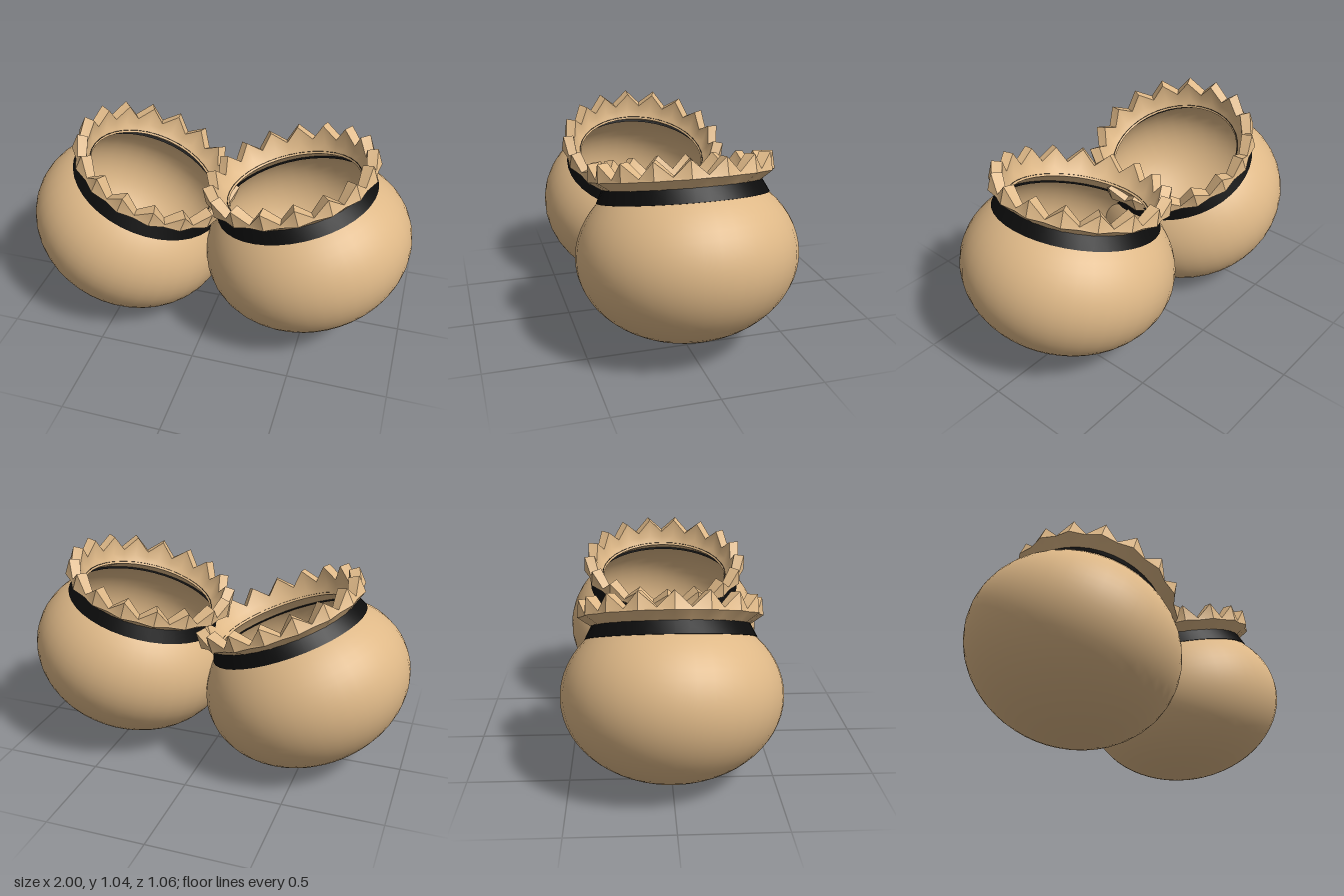
import * as THREE from 'three';
import { toCreasedNormals } from 'three/addons/utils/BufferGeometryUtils.js';

const TAN = 0xdeb887, BLACK = 0x0c0c0c;
const RADIUS = 0.53, HALF_HEIGHT = 0.42, RIM = 0.325, TEETH = 17;

const mat = (color, side = THREE.FrontSide) => new THREE.MeshStandardMaterial({ color, side });

function part(name, geometry, material) {
  const mesh = new THREE.Mesh(geometry, material);
  mesh.name = name;
  return mesh;
}

// Squashed sphere, open above the rim
function bowlGeometry() {
  const end = Math.asin(RIM / HALF_HEIGHT);
  const points = [];
  for (let i = 0; i <= 24; i++) {
    const t = -Math.PI / 2 + (end + Math.PI / 2) * i / 24;
    points.push(new THREE.Vector2(Math.max(0, RADIUS * Math.cos(t)), HALF_HEIGHT * Math.sin(t)));
  }
  return new THREE.LatheGeometry(points, 40);
}

// Sloping strap around the mouth
function bandGeometry() {
  const profile = [[0.39, 0.265], [0.411, 0.27], [0.378, 0.335], [0.34, 0.335]];
  return toCreasedNormals(new THREE.LatheGeometry(profile.map(p => new THREE.Vector2(...p)), 40), 0.5);
}

// Thick flared ring whose upper edge zigzags into teeth
function collarGeometry() {
  const steps = TEETH * 2, positions = [], index = [];
  for (let i = 0; i < steps; i++) {
    const angle = i / steps * Math.PI * 2, tip = i % 2;
    const top = tip ? 0.462 : 0.39;
    const section = [
      [0.335, RIM], [0.368, 0.365], [tip ? 0.385 : 0.375, top],
      [tip ? 0.438 : 0.42, top - 0.005], [tip ? 0.443 : 0.425, 0.372], [0.372, RIM],
    ];
    for (const [r, y] of section) positions.push(r * Math.cos(angle), y, r * Math.sin(angle));
    for (let j = 0; j < 6; j++) {
      const a = i * 6 + j, b = ((i + 1) % steps) * 6 + j;
      const d = i * 6 + (j + 1) % 6, c = ((i + 1) % steps) * 6 + (j + 1) % 6;
      // Split each quad the same way on both flanks of a tooth
      if (tip) index.push(a, b, d, b, c, d);
      else index.push(a, b, c, a, c, d);
    }
  }
  const geometry = new THREE.BufferGeometry();
  geometry.setAttribute('position', new THREE.Float32BufferAttribute(positions, 3));
  geometry.setIndex(index);
  return toCreasedNormals(geometry, 0.6);
}

function makePot(name, x, y, tilt) {
  const pot = new THREE.Group();
  pot.name = name;
  pot.add(
    part('bowl', bowlGeometry(), mat(TAN, THREE.DoubleSide)),
    part('band', bandGeometry(), mat(BLACK, THREE.DoubleSide)),
    part('toothedCollar', collarGeometry(), mat(TAN)),
  );
  pot.position.set(x, y, 0);
  pot.rotation.z = THREE.MathUtils.degToRad(tilt);
  return pot;
}

export function createModel() {
  const model = new THREE.Group();
  model.name = 'pairedPots';
  // Two pots leaning towards each other
  model.add(
    makePot('rightPot', -0.484, 0.438, -22.5),
    makePot('leftPot', 0.477, 0.485, 15.5),
  );
  return model;
}
